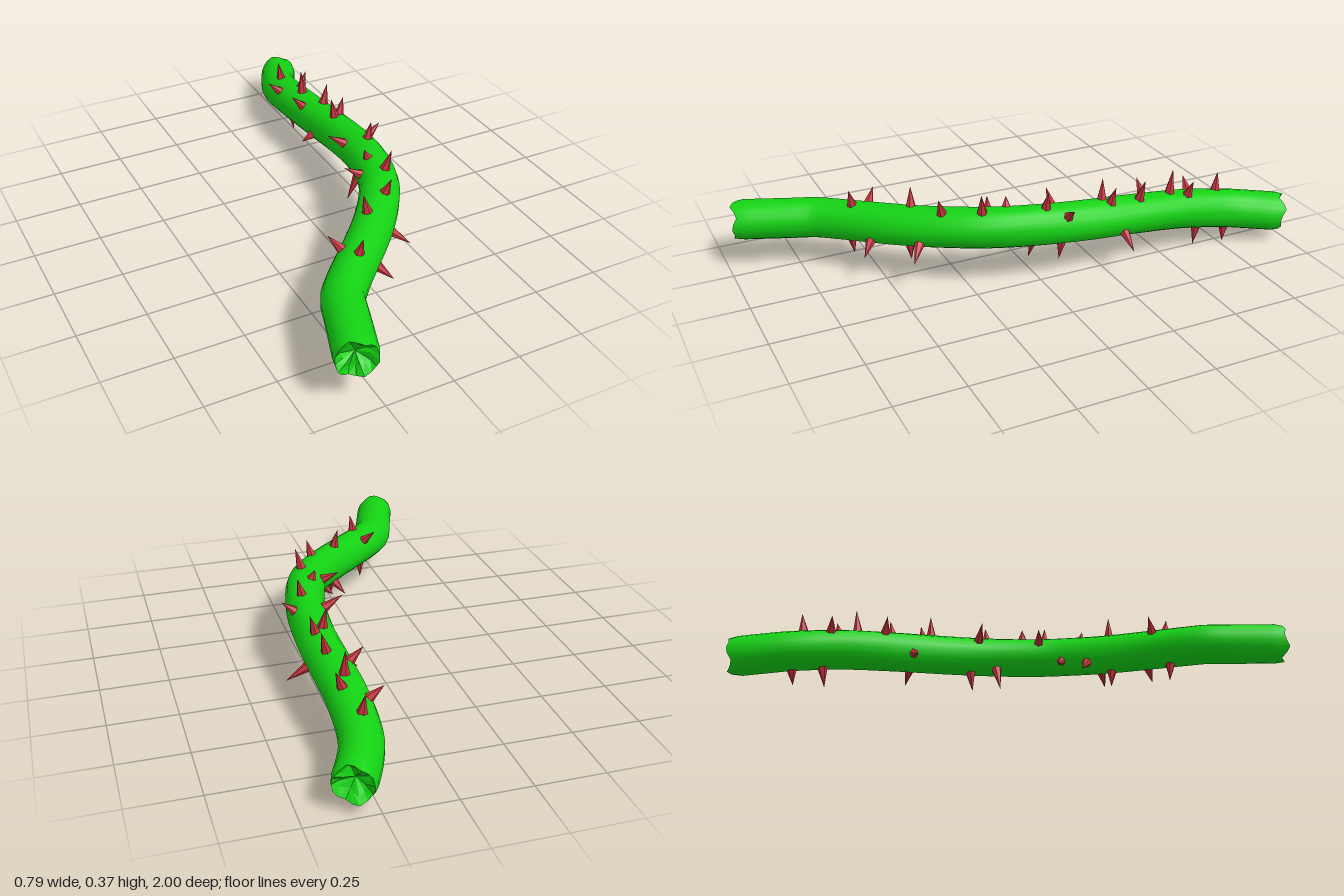
import * as THREE from 'three';

const SIDES = 18, RINGS = 72, RADIUS = 0.074;

// Centre line of the stem, front to back
const path = new THREE.CatmullRomCurve3([
  [-0.33, 0.188, 0.955], [-0.26, 0.187, 0.76], [-0.232, 0.187, 0.685], [-0.18, 0.19, 0.62],
  [0.035, 0.21, 0.4], [0.13, 0.222, 0.28], [0.185, 0.226, 0.18], [0.232, 0.22, 0],
  [0.245, 0.202, -0.2], [0.241, 0.182, -0.4], [0.238, 0.16, -0.6], [0.253, 0.132, -0.78],
  [0.283, 0.12, -0.87], [0.336, 0.11, -0.98],
].map((p) => new THREE.Vector3(...p)), false, 'centripetal');

// Thorn tips, around the stem
const thornTips = [
  // upper
  [-0.108, 0.325, 0.59], [-0.18, 0.29, 0.475], [0, 0.35, 0.395], [0.14, 0.345, 0.345],
  [0.216, 0.37, 0.215], [0.168, 0.325, 0.1], [0.265, 0.355, -0.02], [0.34, 0.3, -0.085],
  [0.115, 0.3, -0.085], [0.222, 0.345, -0.26], [0.286, 0.33, -0.28], [0.28, 0.33, -0.405],
  [0.145, 0.28, -0.45], [0.236, 0.33, -0.55], [0.287, 0.29, -0.61], [0.138, 0.245, -0.66],
  [0.23, 0.278, -0.755], [0.07, 0.29, 0.13],
  // lower
  [-0.145, 0.055, 0.57], [0.02, 0.115, 0.585], [0.025, 0.075, 0.41], [0.165, 0.13, 0.45],
  [0, 0.12, 0.28], [0.155, 0.055, 0.005], [0.235, 0.065, -0.08], [0.382, 0.11, -0.31],
  [0.13, 0.14, -0.33], [0.25, 0.004, -0.65], [0.285, 0.01, -0.76], [0.07, 0.16, 0.215],
];

const green = new THREE.MeshStandardMaterial({ color: 0x14d214, side: THREE.DoubleSide });
const red = new THREE.MeshStandardMaterial({ color: 0xc8323e, flatShading: true });

const frames = path.computeFrenetFrames(RINGS, false);

// Point on the stem: ring index, angle, radius, and shift along the stem
function stemPoint(ring, angle, radius, shift = 0) {
  return path.getPointAt(ring / RINGS)
    .addScaledVector(frames.normals[ring], Math.cos(angle) * radius)
    .addScaledVector(frames.binormals[ring], Math.sin(angle) * radius)
    .addScaledVector(frames.tangents[ring], shift);
}

// Ragged offset of the broken rims
const ragged = (a) => 0.008 * Math.sin(a * 5) + 0.006 * Math.sin(a * 3 + 1);

// Joins rows of points into a surface
function loft(rows) {
  const pos = [], index = [], n = SIDES + 1;
  rows.forEach((row) => row.forEach((p) => pos.push(p.x, p.y, p.z)));
  for (let r = 0; r < rows.length - 1; r++) {
    for (let s = 0; s < SIDES; s++) {
      const a = r * n + s, b = a + n;
      index.push(a, a + 1, b, a + 1, b + 1, b);
    }
  }
  const geo = new THREE.BufferGeometry();
  geo.setAttribute('position', new THREE.Float32BufferAttribute(pos, 3));
  geo.setIndex(index);
  geo.computeVertexNormals();
  return geo;
}

function ringRow(ring, radius, shift) {
  return Array.from({ length: SIDES + 1 }, (_, s) => {
    const a = ((s % SIDES) / SIDES) * Math.PI * 2;
    return stemPoint(ring, a, radius(a), shift(a));
  });
}

function add(group, geometry, material, name) {
  const mesh = new THREE.Mesh(geometry, material);
  mesh.name = name;
  group.add(mesh);
  return mesh;
}

export function createModel() {
  const model = new THREE.Group();
  model.name = 'thornyVine';

  // Stem, gently uneven along its length
  const rows = [];
  for (let r = 0; r <= RINGS; r++) {
    const end = r === 0 || r === RINGS;
    rows.push(ringRow(r,
      (a) => (end ? 0.93 : 1) * RADIUS * (1 + 0.018 * Math.sin(a * 3 + r * 0.25)),
      (a) => (end ? ragged(a) : 0)));
  }
  const stem = loft(rows);
  add(model, stem, green, 'stem');

  // Broken ends, folded inwards
  [[0, 1, 'frontEnd'], [RINGS, -1, 'backEnd']].forEach(([ring, inward, name]) => {
    const cap = loft([
      ringRow(ring, (a) => 0.93 * RADIUS * (1 + 0.018 * Math.sin(a * 3 + ring * 0.25)), ragged),
      ringRow(ring, (a) => RADIUS * (0.6 + 0.12 * Math.sin(a * 4)), (a) => inward * 0.022 + ragged(a)),
      ringRow(ring, () => 0.0005, () => inward * 0.045),
    ]).toNonIndexed();
    cap.computeVertexNormals();
    add(model, cap, green, name);
  });

  // Thorns, each pointing straight out of the stem
  const samples = path.getSpacedPoints(400);
  const thorns = new THREE.Group();
  thorns.name = 'thorns';
  thornTips.forEach((t) => {
    const tip = new THREE.Vector3(...t);
    const centre = samples.reduce((a, b) => (a.distanceTo(tip) < b.distanceTo(tip) ? a : b));
    const out = tip.clone().sub(centre).normalize();
    const base = centre.clone().addScaledVector(out, RADIUS * 0.85);
    const length = base.distanceTo(tip);
    const cone = new THREE.ConeGeometry(0.021, length, 6);
    cone.translate(0, length / 2, 0);
    const mesh = add(thorns, cone, red, 'thorn');
    mesh.position.copy(base);
    mesh.quaternion.setFromUnitVectors(new THREE.Vector3(0, 1, 0), out);
  });
  model.add(thorns);
  return model;
}
